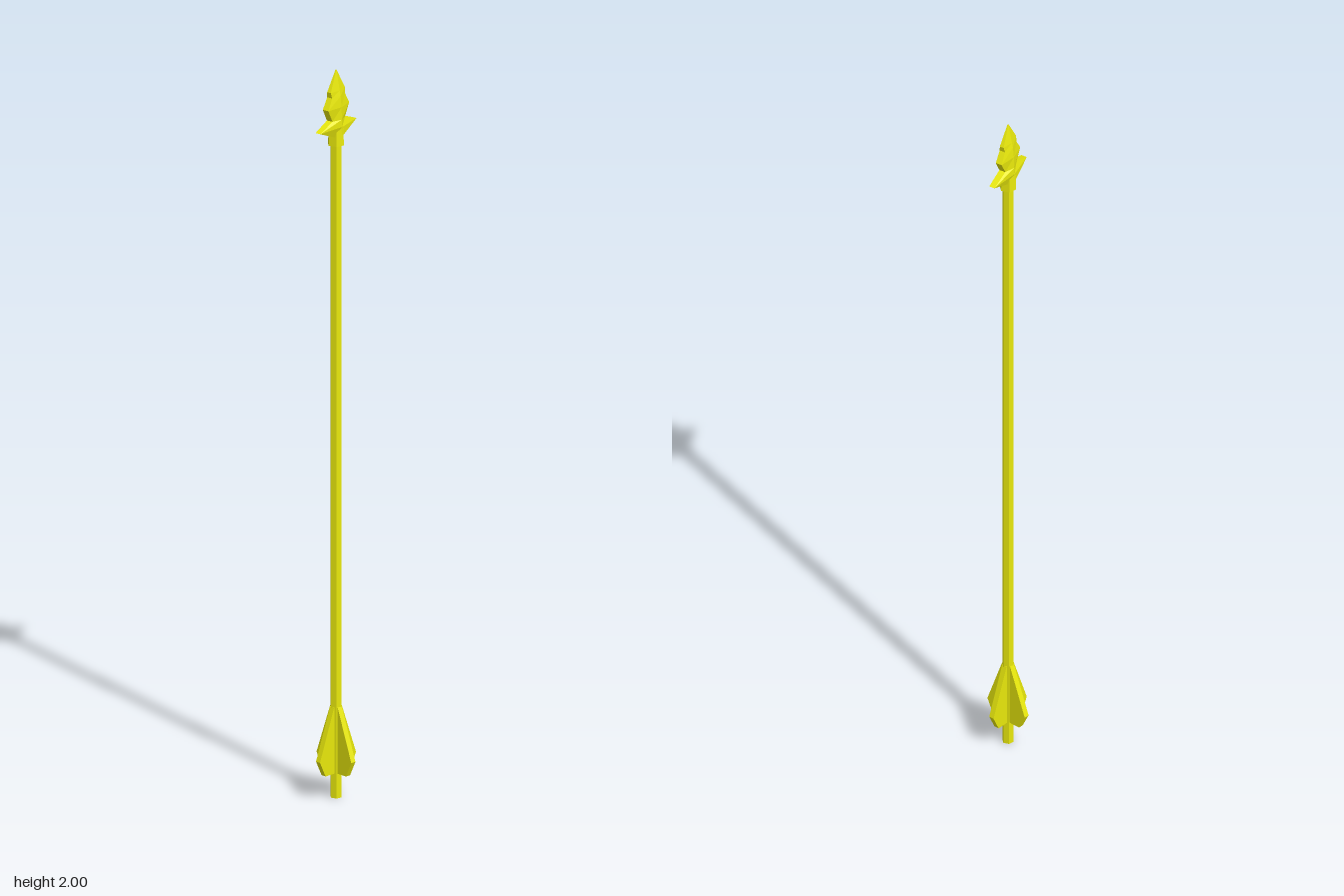
import * as THREE from 'three';

const material = new THREE.MeshStandardMaterial({ color: 0xe8e80c, flatShading: true });

// Faceted blade from six-sided sections: [y, half width, ridge half thickness, edge half thickness]
function bladeGeometry(rows) {
  const pos = [], idx = [], n = 6;
  for (const [y, w, c, e] of rows) {
    pos.push(w, y, e, 0, y, c, -w, y, e, -w, y, -e, 0, y, -c, w, y, -e);
  }
  for (let r = 0; r < rows.length - 1; r++) {
    for (let i = 0; i < n; i++) {
      const a = r * n + i, b = r * n + (i + 1) % n;
      idx.push(a, a + n, b, b, a + n, b + n);
    }
  }
  for (let i = 1; i < n - 1; i++) idx.push(0, i, i + 1);
  const g = new THREE.BufferGeometry();
  g.setAttribute('position', new THREE.Float32BufferAttribute(pos, 3));
  g.setIndex(idx);
  const flat = g.toNonIndexed();
  flat.computeVertexNormals();
  return flat;
}

export function createModel() {
  const group = new THREE.Group();
  const add = (name, geometry, y = 0, turn = 0) => {
    const mesh = new THREE.Mesh(geometry, material);
    mesh.name = name;
    mesh.position.y = y;
    mesh.rotation.y = turn;
    group.add(mesh);
  };

  // Six-sided shaft and the collar that holds the head
  add('shaft', new THREE.CylinderGeometry(0.0158, 0.0158, 1.82, 6), 0.91, Math.PI / 12);
  add('collar', new THREE.CylinderGeometry(0.021, 0.023, 0.045, 6), 1.8175, Math.PI / 12);

  // Barbed head with a notched edge, turned about the shaft
  add('head', bladeGeometry([
    [1.82, 0.018, 0.02, 0.009],
    [1.846, 0.08, 0.02, 0.008],
    [1.866, 0.028, 0.019, 0.009],
    [1.9, 0.046, 0.018, 0.009],
    [1.93, 0.028, 0.015, 0.008],
    [1.945, 0.031, 0.012, 0.006],
    [2.0, 0.001, 0.001, 0.001],
  ]), 0, 1.125);

  // Four fins at the tail
  const outline = new THREE.Shape([
    [0, 0.068], [0.045, 0.068], [0.065, 0.11], [0.014, 0.25], [0, 0.25],
  ].map(([x, y]) => new THREE.Vector2(x, y)));
  const fin = new THREE.ExtrudeGeometry(outline, { depth: 0.015, bevelEnabled: false });
  fin.translate(0, 0, -0.0075);
  for (let i = 0; i < 4; i++) add(`fin${i + 1}`, fin, 0, -0.62 + i * Math.PI / 2);

  return group;
}
